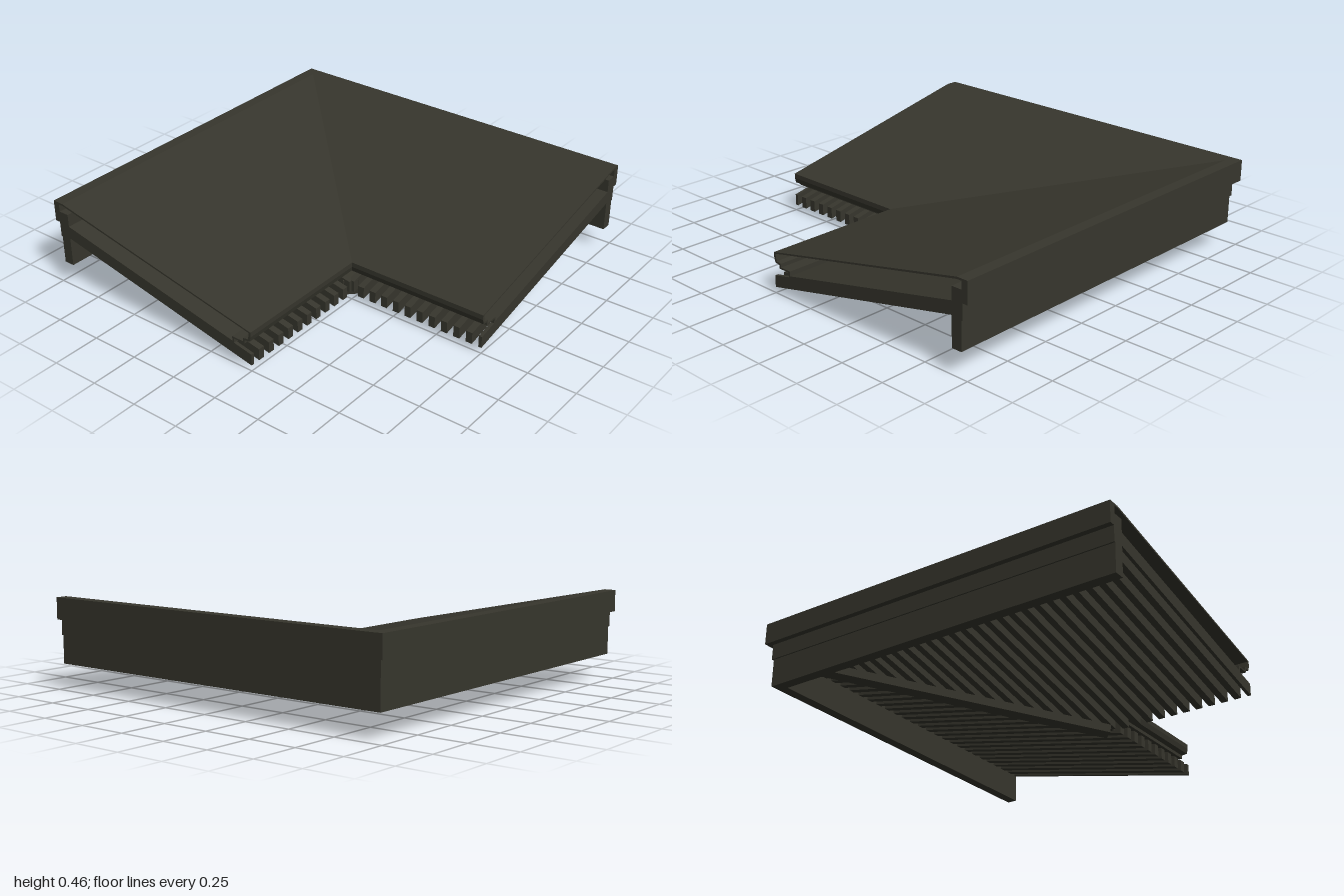
import * as THREE from 'three';
import { mergeGeometries } from 'three/addons/utils/BufferGeometryUtils.js';

const SLOPE = 0.2137;   // rise of roof and soffit per unit of run
const EAVE = -0.25;     // x of the low inner edge
const WALL = 0.91;      // inner face of the outer beam

// Extrude a profile given as [x, y] points along z
function extrude(points, depth) {
  const shape = new THREE.Shape(points.map(([x, y]) => new THREE.Vector2(x, y)));
  return new THREE.ExtrudeGeometry(shape, { depth, bevelEnabled: false });
}

// Run a profile from the mitre plane z = -x to the open end z = 1
function mitred(points) {
  const geo = extrude(points, 1);
  const p = geo.attributes.position;
  for (let i = 0; i < p.count; i++) if (p.getZ(i) < 0.5) p.setZ(i, -p.getX(i));
  geo.computeVertexNormals();
  return geo;
}

// Reflect across the mitre plane, (x, z) -> (-z, -x), keeping faces outward
function reflected(source) {
  const geo = source.clone();
  const from = source.attributes.position;
  const to = geo.attributes.position;
  for (let i = 0; i < from.count; i += 3) {
    [0, 2, 1].forEach((k, j) =>
      to.setXYZ(i + j, -from.getZ(i + k), from.getY(i + k), -from.getX(i + k)));
  }
  geo.computeVertexNormals();
  return geo;
}

// Sloping strip whose underside is at height y when x = EAVE
function slopedProfile(x0, x1, y, height) {
  const at = (x) => y + (x - EAVE) * SLOPE;
  return [[x0, at(x0)], [x1, at(x1)], [x1, at(x1) + height], [x0, at(x0) + height]];
}

// Evenly spaced soffit slats, cut short where they meet the hip rafter
function slats() {
  const list = [];
  const width = 0.034, pitch = 0.0695;
  for (let i = 0; i < 28; i++) {
    const centre = 1 - i * pitch;
    const start = Math.max(EAVE, -centre);
    if (start > WALL - 0.02) break;
    const depth = i === 0 ? width / 2 : width;
    const geo = extrude(slopedProfile(start, WALL, 0.03, 0.06), depth);
    geo.translate(0, 0, centre - width / 2);
    list.push(geo);
  }
  return mergeGeometries(list);
}

export function createModel() {
  const model = new THREE.Group();
  model.name = 'cornerRoof';
  const bronze = new THREE.MeshStandardMaterial({ color: 0x37362d });
  bronze.name = 'darkBronze';

  const parts = {
    // Thin roof sheet with flat outer rim and hanging edge
    roofSheet: mitred([
      [EAVE, 0.21], [0.94, 0.46], [1, 0.46], [1, 0.35],
      [0.972, 0.35], [0.972, 0.45], [0.94, 0.45], [EAVE, 0.202],
    ]),
    // Stepped trim below the low edge of the roof
    eaveTrim: mitred([
      [EAVE, 0.208], [-0.25, 0.185], [-0.243, 0.158], [-0.213, 0.154], [-0.213, 0.136],
      [-0.148, 0.136], [-0.148, 0.108], [-0.138, 0.108], [-0.138, 0.144],
      [-0.204, 0.144], [-0.204, 0.163], [-0.234, 0.167], [-0.24, 0.208],
    ]),
    // Deep beam along the outer side
    outerBeam: mitred([[WALL, 0.125], [0.965, 0.125], [0.965, 0.41], [WALL, 0.41]]),
    // Narrow flashing between beam and roof edge
    flashing: mitred([[0.965, 0.27], [0.972, 0.27], [0.972, 0.45], [0.965, 0.45]]),
    // Board lying on the slats
    soffitBoard: mitred(slopedProfile(-0.145, WALL, 0.088, 0.008)),
    soffitSlats: slats(),
  };

  // Two matching wings meeting at the mitre
  for (const side of ['right', 'back']) {
    const wing = new THREE.Group();
    wing.name = side + 'Wing';
    for (const [name, geo] of Object.entries(parts)) {
      const mesh = new THREE.Mesh(side === 'right' ? geo : reflected(geo), bronze);
      mesh.name = name;
      wing.add(mesh);
    }
    model.add(wing);
  }

  // Diagonal rafter under the mitre
  const s0 = -0.22 * Math.SQRT2, s1 = WALL * Math.SQRT2;
  const rise = (s1 - s0) * SLOPE / Math.SQRT2;
  const hip = extrude([[s0, 0], [s1, rise], [s1, rise + 0.095], [s0 - 0.014, 0.09]], 0.08);
  hip.translate(0, 0, -0.04).rotateY(Math.PI / 4);
  const hipRafter = new THREE.Mesh(hip, bronze);
  hipRafter.name = 'hipRafter';
  model.add(hipRafter);

  return model;
}
